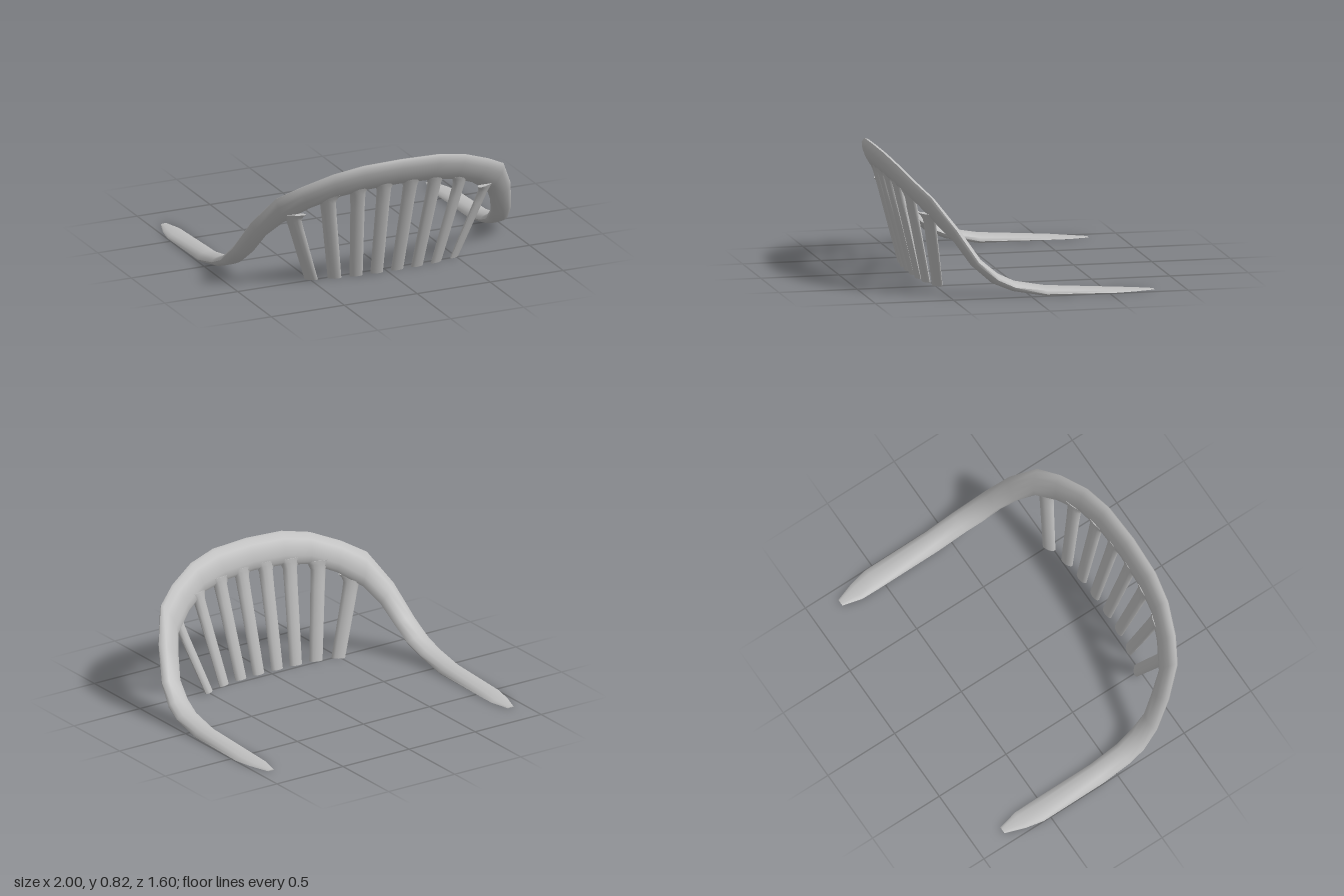
import * as THREE from 'three';
import { toCreasedNormals } from 'three/addons/utils/BufferGeometryUtils.js';

const SIDES = 12;
const V = (p) => new THREE.Vector3(...p);

// Elliptical ring around a centre, spanned by two half axes, kept above the ground
function ring(centre, a, n) {
  return Array.from({ length: SIDES }, (_, j) => {
    const u = (j / SIDES) * Math.PI * 2;
    const p = centre.clone().addScaledVector(a, Math.cos(u)).addScaledVector(n, Math.sin(u));
    p.y = Math.max(p.y, 0);
    return p;
  });
}

// Closed skin over a list of rings, with both ends capped
function loft(rings, crease) {
  const pos = [], index = [], last = rings.length - 1;
  rings.forEach((r) => r.forEach((p) => pos.push(p.x, p.y, p.z)));
  for (const r of [rings[0], rings[last]]) {
    const c = r.reduce((s, p) => s.add(p), new THREE.Vector3()).divideScalar(SIDES);
    pos.push(c.x, c.y, c.z);
  }
  const c0 = rings.length * SIDES;
  for (let j = 0; j < SIDES; j++) {
    const k = (j + 1) % SIDES;
    for (let i = 0; i < last; i++) {
      const p = i * SIDES, q = p + SIDES;
      index.push(p + j, p + k, q + j, p + k, q + k, q + j);
    }
    index.push(c0, k, j, c0 + 1, last * SIDES + j, last * SIDES + k);
  }
  const g = new THREE.BufferGeometry();
  g.setAttribute('position', new THREE.Float32BufferAttribute(pos, 3));
  g.setIndex(index);
  return toCreasedNormals(g, crease);
}

// Half of the bow, from the crown to the arm tip: outer edge, inner edge, half thickness
const BOW = [
  [[0, 0.82, 0.785], [0, 0.63, 0.7], 0.035],
  [[0.26, 0.81, 0.775], [0.22, 0.62, 0.69], 0.035],
  [[0.45, 0.77, 0.74], [0.4, 0.59, 0.665], 0.035],
  [[0.64, 0.69, 0.67], [0.56, 0.52, 0.6], 0.035],
  [[0.78, 0.61, 0.59], [0.7, 0.42, 0.52], 0.033],
  [[0.89, 0.42, 0.455], [0.765, 0.32, 0.42], 0.032],
  [[0.955, 0.22, 0.325], [0.81, 0.2, 0.335], 0.032],
  [[0.985, 0.11, 0.21], [0.83, 0.11, 0.22], 0.035],
  [[0.997, 0.06, 0.1], [0.845, 0.06, 0.1], 0.032],
  [[1, 0.012, -0.1], [0.85, 0.012, -0.1], 0.045],
  [[1, 0.003, -0.55], [0.85, 0.003, -0.55], 0.022],
  [[0.975, 0.002, -0.67], [0.852, 0.002, -0.67], 0.013],
  [[0.93, 0.001, -0.8], [0.885, 0.001, -0.8], 0.004],
];

function bowGeometry() {
  const flip = ([x, y, z]) => [-x, y, z];
  const mirrored = BOW.slice(1).reverse().map(([a, b, t]) => [flip(a), flip(b), t]);
  const stations = [...mirrored, ...BOW].map(([a, b, t]) => ({
    centre: V(a).add(V(b)).multiplyScalar(0.5),
    axis: V(a).sub(V(b)).multiplyScalar(0.5),
    t,
  }));
  const rings = stations.map((s, i) => {
    const next = stations[Math.min(i + 1, stations.length - 1)].centre;
    const prev = stations[Math.max(i - 1, 0)].centre;
    const n = next.clone().sub(prev).cross(s.axis).setLength(s.t);
    return ring(s.centre, s.axis, n);
  });
  return loft(rings, 1.0);
}

// Spindles on one side: foot, top, yaw of the flat section
const SPINDLES = [
  [[0.07, 0, 0.547], [0.092, 0.67, 0.715], 0.02],
  [[0.208, 0, 0.541], [0.268, 0.655, 0.7], 0.12],
  [[0.348, 0, 0.524], [0.46, 0.61, 0.66], 0.35],
  [[0.49, 0, 0.485], [0.665, 0.49, 0.58], 0.6],
];
// Height fraction, half width, half depth: flared where it meets the bow
const PROFILE = [
  [0, 0.043, 0.019],
  [0.4, 0.045, 0.022],
  [0.75, 0.047, 0.024],
  [0.91, 0.05, 0.026],
  [0.96, 0.065, 0.028],
  [1, 0.09, 0.03],
];

function spindleGeometry([foot, top, yaw], side) {
  const a = V(foot), b = V(top);
  const across = new THREE.Vector3(Math.cos(yaw), 0, -Math.sin(yaw) * side);
  const deep = new THREE.Vector3(0, 1, 0).cross(across);
  const rings = PROFILE.map(([f, w, d]) => {
    const c = a.clone().lerp(b, f);
    c.x *= side;
    return ring(c, across.clone().multiplyScalar(w), deep.clone().multiplyScalar(d));
  });
  return loft(rings, 1.0);
}

export function createModel() {
  const group = new THREE.Group();
  group.name = 'chairBack';
  const grey = new THREE.MeshStandardMaterial({ color: 0xbcbcbc });
  grey.name = 'plain grey';

  const add = (geometry, name) => {
    const mesh = new THREE.Mesh(geometry, grey);
    mesh.name = name;
    group.add(mesh);
  };

  // Bent rail with both arms
  add(bowGeometry(), 'bowRail');

  // Fan of spindles under the rail
  SPINDLES.forEach((s, i) => {
    add(spindleGeometry(s, 1), `spindleLeft${i + 1}`);
    add(spindleGeometry(s, -1), `spindleRight${i + 1}`);
  });
  return group;
}
